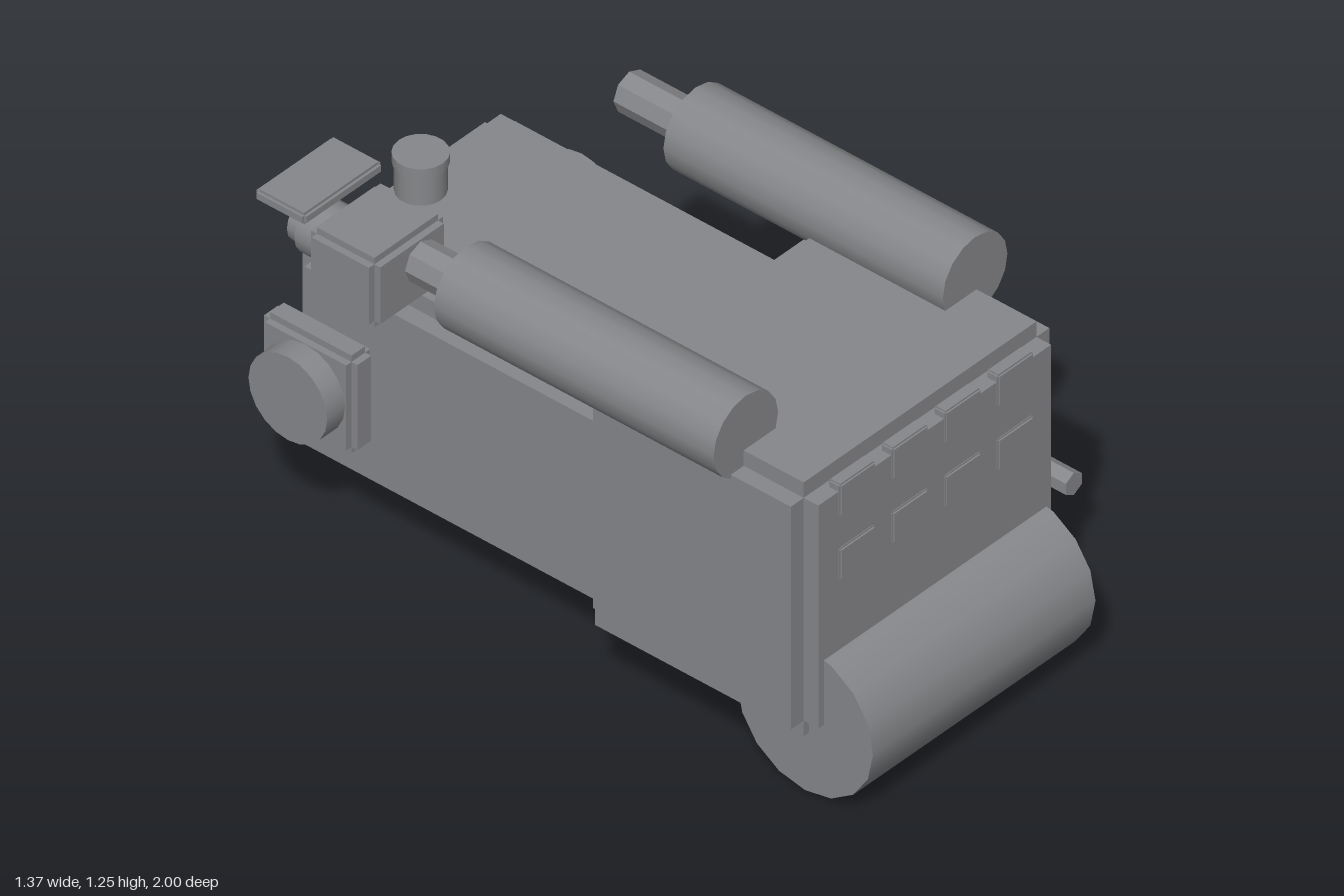
import * as THREE from 'three';

const CX = -0.065; // centre plane of the hull
const smooth = new THREE.MeshStandardMaterial({ color: 0x86878a });
const faceted = new THREE.MeshStandardMaterial({ color: 0x86878a, flatShading: true });

export function createModel() {
  const model = new THREE.Group();

  const add = (name, geometry, x, y, z, parent = model, material = smooth) => {
    const mesh = new THREE.Mesh(geometry, material);
    mesh.name = name;
    mesh.position.set(x, y, z);
    parent.add(mesh);
  };

  // Box with stepped edges: three slabs, each reaching full size along one axis
  const steppedBox = (name, min, max, step) => {
    const group = new THREE.Group();
    group.name = name;
    const size = max.map((v, i) => v - min[i]);
    group.position.set(...max.map((v, i) => (v + min[i]) / 2));
    for (let axis = 0; axis < 3; axis++) {
      const s = size.map((v, i) => (i === axis ? v : v - 2 * step));
      add(name + 'Slab', new THREE.BoxGeometry(...s), 0, 0, 0, group);
    }
    model.add(group);
  };

  // Cylinder between two positions along an axis; a and b are its other coordinates
  const rod = (name, axis, radius, from, to, a, b, sides) => {
    const geometry = new THREE.CylinderGeometry(radius, radius, Math.abs(to - from), sides);
    const material = sides <= 8 ? faceted : smooth;
    const mid = (from + to) / 2;
    if (axis === 'x') {
      geometry.rotateZ(Math.PI / 2);
      add(name, geometry, mid, a, b, model, material);
    } else if (axis === 'z') {
      geometry.rotateX(Math.PI / 2);
      add(name, geometry, a, b, mid, model, material);
    } else add(name, geometry, a, mid, b, model, material);
  };

  // Hull
  steppedBox('frontBody', [-0.56, 0.19, 0.08], [0.425, 0.995, 0.835], 0.049);
  steppedBox('rearBody', [-0.466, 0.17, -0.98], [0.335, 0.84, 0.095], 0.053);

  // Front roller
  rod('roller', 'x', 0.228, -0.49, 0.358, 0.228, 0.772, 16);

  // Two rows of front panels
  for (const y of [0.716, 0.919]) {
    for (let i = 0; i < 4; i++) {
      const x = CX + (i - 1.5) * 0.201;
      steppedBox('frontPanel', [x - 0.068, y - 0.05, 0.8], [x + 0.068, y + 0.05, 0.842], 0.005);
    }
  }

  // Side tanks with rear rods
  for (const x of [-0.503, 0.371]) {
    rod('tank', 'z', 0.123, -0.352, 0.585, x, 1.041, 16);
    rod('tankRod', 'z', 0.06, -0.575, -0.35, x, 1.041, 8);
  }

  // Rear side hubs
  for (const s of [-1, 1]) {
    const xs = [CX + s * 0.4, CX + s * 0.492].sort((p, q) => p - q);
    steppedBox('hubMount', [xs[0], 0.346, -1.0], [xs[1], 0.656, -0.687], 0.02);
    rod('hubDisc', 'x', 0.132, CX + s * 0.48, CX + s * 0.56, 0.502, -0.843, 20);
  }

  // Rear upper unit: housing, nozzle, cap and plate
  steppedBox('upperHousing', [-0.677, 0.907, -0.737], [-0.395, 1.127, -0.505], 0.02);
  rod('nozzle', 'z', 0.081, -0.825, -0.73, -0.54, 1.018, 16);
  rod('nozzleTip', 'z', 0.065, -0.864, -0.82, -0.54, 1.018, 16);
  rod('capStem', 'y', 0.068, 1.132, 1.226, -0.372, -0.62, 18);
  rod('capTop', 'y', 0.074, 1.223, 1.252, -0.372, -0.62, 18);
  steppedBox('upperPlate', [-0.688, 1.138, -0.9], [-0.388, 1.174, -0.732], 0.008);

  // Lower side unit with two pegs
  steppedBox('lowerHousing', [0.355, 0.146, 0.285], [0.64, 0.367, 0.53], 0.021);
  for (const x of [0.471, 0.656]) rod('peg', 'z', 0.035, 0.52, 0.665, x, 0.257, 6);

  return model;
}
